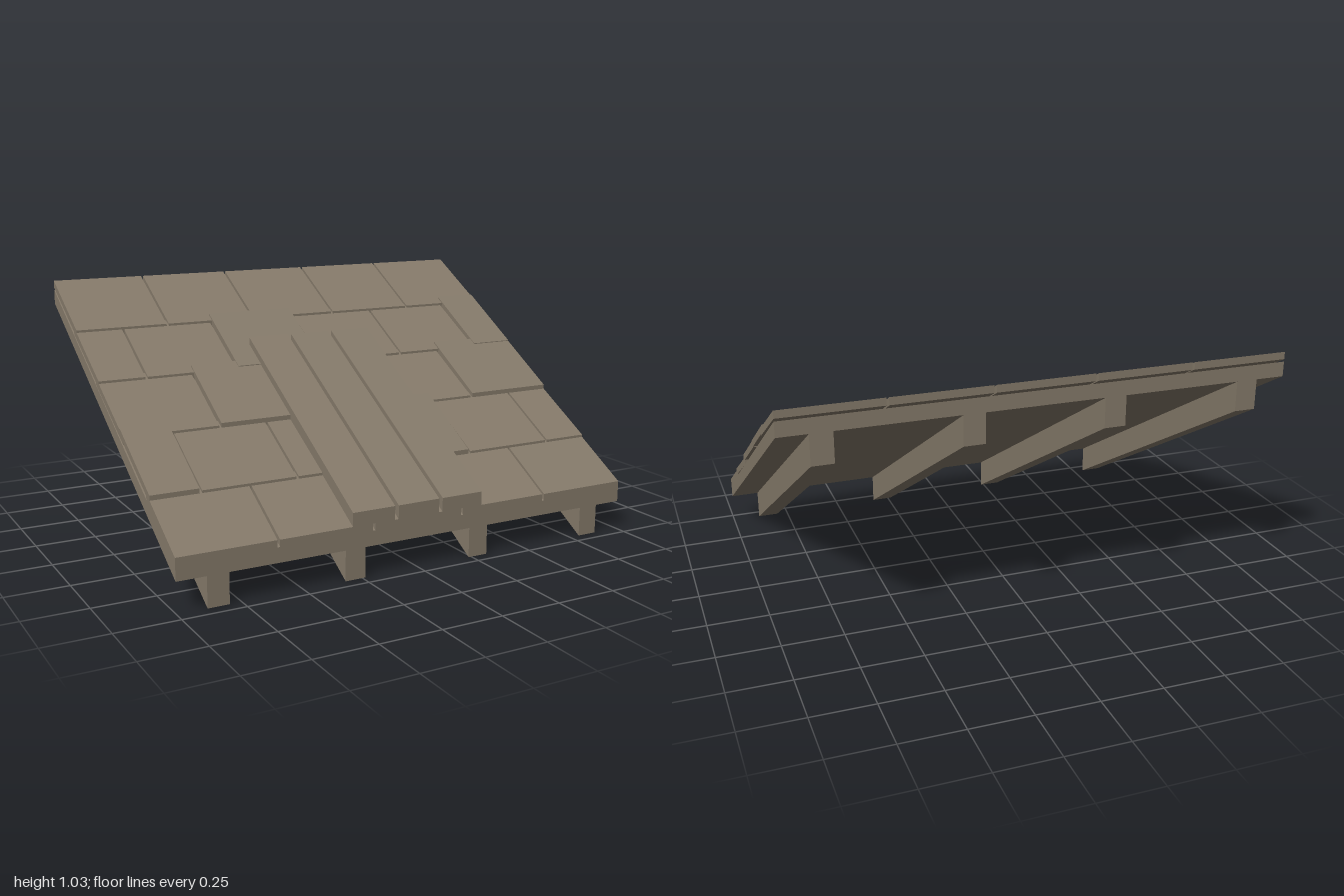
import * as THREE from 'three';

const PITCH = Math.tan(Math.PI / 6);

export function createModel() {
  const model = new THREE.Group();
  model.name = 'roofPanel';
  const wood = new THREE.MeshStandardMaterial({ color: 0x857a6a });
  wood.name = 'weatheredWood';

  // Box sheared onto the roof pitch: ends stay vertical.
  // Heights are measured above the sloping underside, at the front and the back end.
  function slab(name, x0, x1, zFront, zBack, thick, topFront, topBack = topFront) {
    const geo = new THREE.BoxGeometry(x1 - x0, 1, zFront - zBack).toNonIndexed();
    const p = geo.attributes.position;
    for (let i = 0; i < p.count; i++) {
      const front = p.getZ(i) > 0;
      const z = front ? zFront : zBack;
      const top = front ? topFront : topBack;
      const y = (0.7 - z) * PITCH + top - (p.getY(i) > 0 ? 0 : thick);
      p.setXYZ(i, p.getX(i) + (x0 + x1) / 2, y, z);
    }
    geo.computeVertexNormals();
    const mesh = new THREE.Mesh(geo, wood);
    mesh.name = name;
    model.add(mesh);
  }

  // Rafters and decking
  for (const x of [-0.84, -0.28, 0.28, 0.84]) {
    slab('rafter', x - 0.043, x + 0.043, 0.7, -0.7, 0.125, 0.125);
  }
  slab('deck', -1, 1, 0.7, -0.7, 0.06, 0.182);

  // Overlapping shingle rows with alternating joints; a few shingles sit proud
  const joints = [
    [-1, -0.6, -0.2, 0.2, 0.6, 1],
    [-1, -0.8, -0.4, 0, 0.4, 0.8, 1],
  ];
  const raised = [[], [0, 3], [1, 4], [2, 5], []];
  for (let row = 0; row < 5; row++) {
    const zFront = row === 0 ? 0.7 : 0.735 - row * 0.28;
    const zBack = 0.42 - row * 0.28;
    const top = 0.215 + row * 0.0035;
    const xs = joints[row % 2];
    for (let i = 0; i < xs.length - 1; i++) {
      const x0 = xs[i] + (i === 0 ? 0 : 0.005);
      const x1 = xs[i + 1] - (i === xs.length - 2 ? 0 : 0.005);
      if (raised[row].includes(i)) {
        slab('raisedShingle', x0, x1, zFront, zBack, 0.03, top + 0.009);
      } else {
        slab('shingle', x0, x1, zFront, zBack, 0.03, row === 0 ? 0.21 : top, top - 0.007);
      }
    }
  }

  // Three long planks patching the middle
  for (const x of [-0.2, 0, 0.2]) {
    slab('patchPlank', x - 0.092, x + 0.092, 0.7, -0.22, 0.055, 0.265);
  }

  return model;
}
